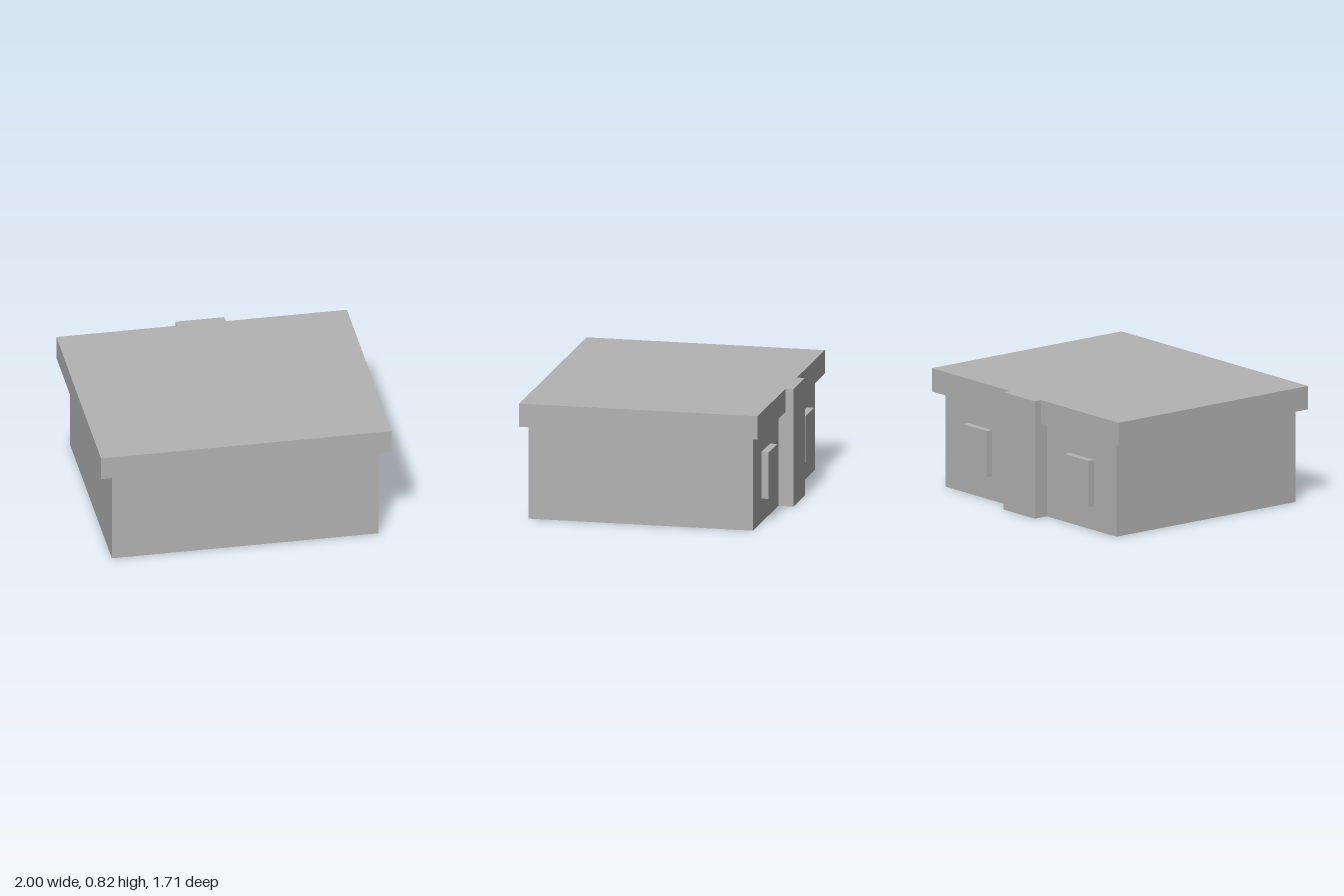
import * as THREE from 'three';

export function createModel() {
  const model = new THREE.Group();
  model.name = 'building';
  const grey = new THREE.MeshStandardMaterial({ color: 0xb3b3b3 });
  grey.name = 'plain grey';

  // Box given by its lower and upper limits on each axis
  function addBox(name, [x0, x1], [y0, y1], [z0, z1]) {
    const mesh = new THREE.Mesh(new THREE.BoxGeometry(x1 - x0, y1 - y0, z1 - z0), grey);
    mesh.position.set((x0 + x1) / 2, (y0 + y1) / 2, (z0 + z1) / 2);
    mesh.name = name;
    model.add(mesh);
  }

  const roofBase = 0.655, top = 0.817;
  const wallBack = -0.75, roofBack = -0.8;

  // Main block and overhanging flat roof
  addBox('walls', [-0.917, 0.917], [0, roofBase], [wallBack, 0.81]);
  addBox('roof', [-1, 1], [roofBase, top], [roofBack, 0.855]);

  // Full-height pier on the back, cutting past the roof edge
  addBox('backPier', [-0.171, 0.166], [0, top], [-0.855, wallBack]);

  // Raised window panels on either side of the pier
  for (const [name, x] of [['leftWindow', 0.542], ['rightWindow', -0.55]]) {
    addBox(name, [x - 0.128, x + 0.128], [0.167, 0.49], [roofBack, wallBack]);
  }
  return model;
}
